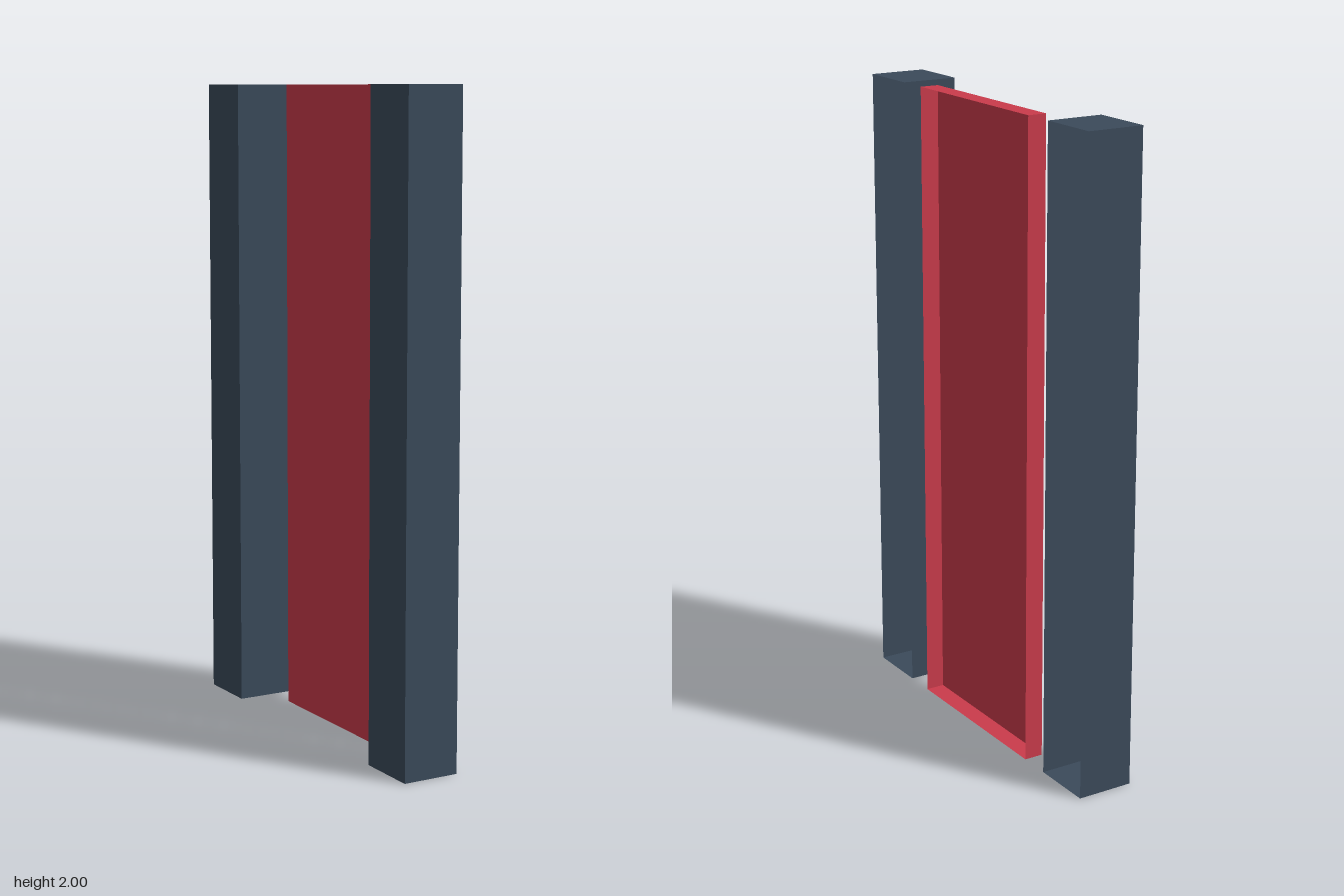
import * as THREE from 'three';

const slate = new THREE.MeshStandardMaterial({ color: 0x3b4a5a, side: THREE.DoubleSide });
slate.name = 'slate';
const red = new THREE.MeshStandardMaterial({ color: 0xca3b4b, side: THREE.DoubleSide });
red.name = 'red';

// Thin-walled box whose +x side is left open
function openBox(name, width, height, depth, material, x, z) {
  const geometry = new THREE.BoxGeometry(width, height, depth);
  geometry.setIndex(Array.from(geometry.index.array).slice(6)); // drop the +x face
  geometry.clearGroups();
  const mesh = new THREE.Mesh(geometry, material);
  mesh.name = name;
  mesh.position.set(x, height / 2, z);
  return mesh;
}

export function createModel() {
  const model = new THREE.Group();
  model.name = 'panelBetweenPosts';

  // Two upright posts, front and back
  for (const [name, side] of [['frontPost', 1], ['backPost', -1]]) {
    model.add(openBox(name, 0.18, 2, 0.2, slate, 0, side * 0.5));
  }

  // Shallow upright panel between them, flush with the +x side
  model.add(openBox('panel', 0.06, 2, 0.6, red, 0.06, 0));

  return model;
}
